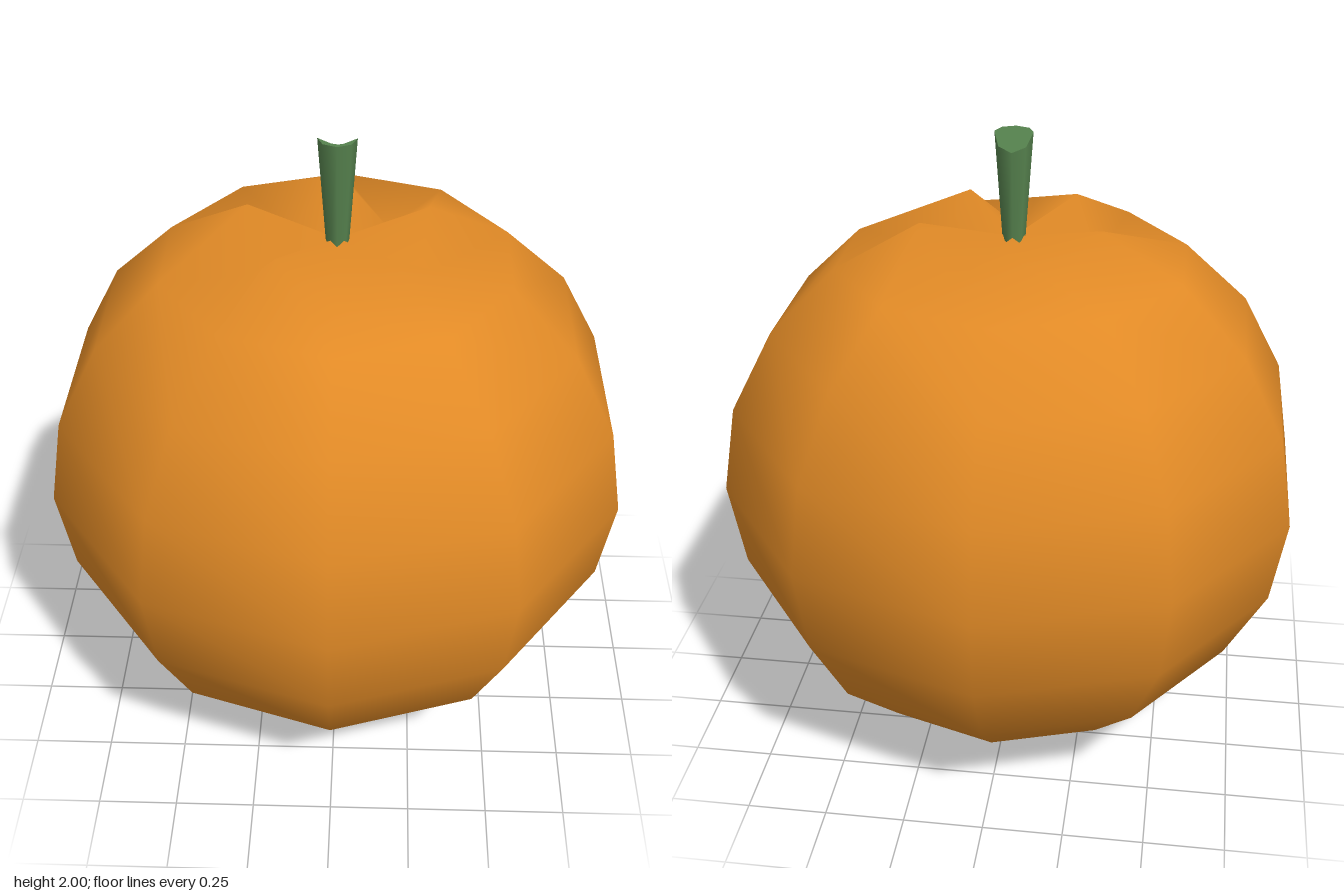
import * as THREE from 'three';
import { mergeVertices } from 'three/addons/utils/BufferGeometryUtils.js';

const SIDES = 10;

function material(name, color) {
  const m = new THREE.MeshStandardMaterial({ color });
  m.name = name;
  return m;
}

// Round fruit: ten-sided sphere with a star-shaped hollow pressed into the top
function fruitGeometry() {
  const ry = 0.89, r = 0.93;
  let geo = new THREE.SphereGeometry(1, SIDES, 10, Math.PI / 2);
  geo.scale(r, ry, r).translate(0, ry, 0);
  geo.deleteAttribute('uv');
  const pos = geo.attributes.position;
  const row = SIDES + 1;
  for (let i = 0; i < row; i++) {
    // Sunken centre
    pos.setXYZ(i, 0, 1.675, 0);
    // Every second point of the uppermost ring is a groove
    if (i % 2 === 0) {
      const a = (i / SIDES) * Math.PI * 2;
      pos.setXYZ(row + i, Math.sin(a) * 0.26, 1.595, Math.cos(a) * 0.26);
    }
  }
  geo.deleteAttribute('normal');
  geo = mergeVertices(geo, 1e-4);
  geo.computeVertexNormals();
  return geo;
}

// Tapered stem, cut off at a slant towards the back
function stemGeometry() {
  const bottom = 1.64, top = 2;
  const geo = new THREE.CylinderGeometry(0.058, 0.033, top - bottom, 8);
  geo.translate(0, (top + bottom) / 2, 0);
  const pos = geo.attributes.position;
  for (let i = 0; i < pos.count; i++) {
    if (pos.getY(i) < top - 0.001) continue;
    const x = pos.getX(i), z = pos.getZ(i);
    if (Math.hypot(x, z) < 0.001) pos.setY(i, 1.975);
    else if (z < -0.001) pos.setY(i, top + z * 0.83);
  }
  return geo;
}

export function createModel() {
  const group = new THREE.Group();
  group.name = 'fruitWithStem';

  const fruit = new THREE.Mesh(fruitGeometry(), material('orange skin', 0xe18a26));
  fruit.name = 'fruit';

  const stem = new THREE.Mesh(stemGeometry(), material('green stem', 0x56824e));
  stem.name = 'stem';

  group.add(fruit, stem);
  return group;
}
